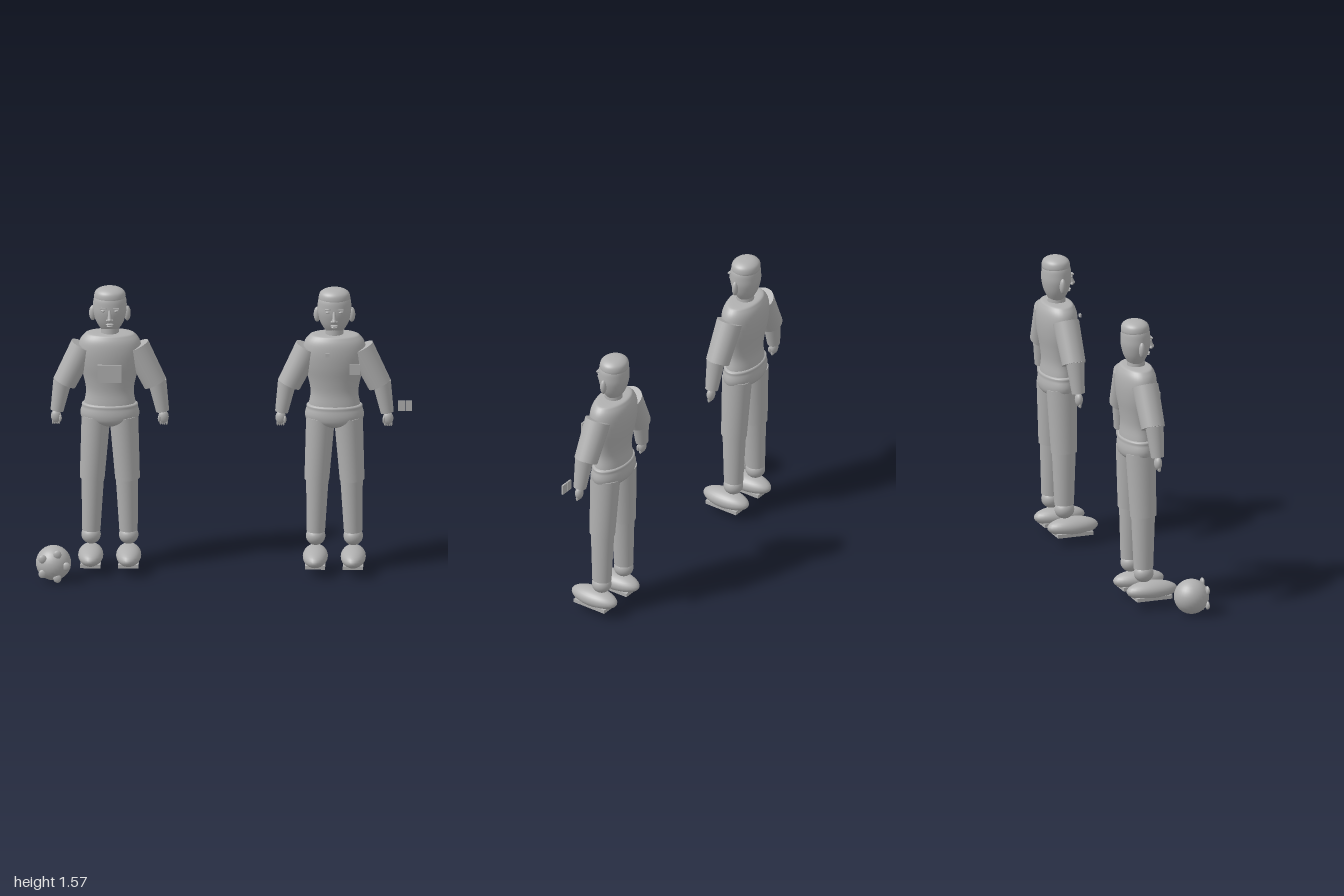
import * as THREE from 'three';

const grey = new THREE.MeshStandardMaterial({ color: 0xb0b0b0 });
grey.name = 'plain grey';
const Z = -0.1; // depth of the body axis

function add(parent, name, geometry, x = 0, y = 0, z = 0) {
  const mesh = new THREE.Mesh(geometry, grey);
  mesh.name = name;
  mesh.position.set(x, y, z);
  parent.add(mesh);
  return mesh;
}

function ellipsoid(parent, name, [x, y, z], [rx, ry, rz], seg = 32) {
  return add(parent, name, new THREE.SphereGeometry(1, seg, seg / 2).scale(rx, ry, rz), x, y, z);
}

function box(parent, name, [x, y, z], [w, h, d]) {
  return add(parent, name, new THREE.BoxGeometry(w, h, d), x, y, z);
}

// Tapered cylinder from point a down to point b
function limb(parent, name, a, b, ra, rb, depth = 1) {
  const from = new THREE.Vector3(...a), to = new THREE.Vector3(...b);
  const axis = from.clone().sub(to);
  const mesh = add(parent, name, new THREE.CylinderGeometry(ra, rb, axis.length(), 28).scale(1, 1, depth));
  mesh.position.copy(from).add(to).multiplyScalar(0.5);
  mesh.quaternion.setFromUnitVectors(new THREE.Vector3(0, 1, 0), axis.normalize());
  return mesh;
}

// Smooth lathe with an oval plan; points are [radius, y] from bottom to top
function ovalLathe(parent, name, points, depth, z = Z) {
  const curve = new THREE.SplineCurve(points.map(([r, y]) => new THREE.Vector2(r, y)));
  const profile = curve.getPoints(36).map(p => new THREE.Vector2(Math.max(p.x, 0), p.y));
  return add(parent, name, new THREE.LatheGeometry(profile, 40).scale(1, 1, depth), 0, 0, z);
}

function buildHead(g) {
  ovalLathe(g, 'head', [[0, 1.318], [0.03, 1.325], [0.052, 1.35], [0.075, 1.39], [0.089, 1.44],
    [0.09, 1.48], [0.084, 1.52], [0.06, 1.55], [0, 1.56]], 0.87, -0.103);
  ovalLathe(g, 'hair', [[0, 1.495], [0.06, 1.497], [0.08, 1.51], [0.084, 1.53], [0.075, 1.555],
    [0.045, 1.572], [0, 1.577]], 0.89, -0.105);
  limb(g, 'neck', [0, 1.37, Z], [0, 1.29, Z], 0.046, 0.05);
  for (const s of [-1, 1]) {
    ellipsoid(g, 'ear', [s * 0.092, 1.432, Z], [0.019, 0.042, 0.017], 20);
    ellipsoid(g, 'eye', [s * 0.034, 1.464, -0.034], [0.014, 0.007, 0.01], 16);
    ellipsoid(g, 'pupil', [s * 0.034, 1.464, -0.026], [0.005, 0.005, 0.005], 12);
    box(g, 'eyebrow', [s * 0.034, 1.479, -0.028], [0.032, 0.007, 0.014]).rotation.z = -s * 0.08;
    ellipsoid(g, 'nostril', [s * 0.012, 1.415, -0.018], [0.008, 0.007, 0.009], 12);
  }
  limb(g, 'noseBridge', [0, 1.47, -0.026], [0, 1.424, -0.012], 0.007, 0.011);
  ellipsoid(g, 'noseTip', [0, 1.42, -0.01], [0.012, 0.011, 0.013], 16);
  ellipsoid(g, 'upperLip', [0, 1.388, -0.032], [0.022, 0.006, 0.011], 16);
  ellipsoid(g, 'lowerLip', [0, 1.378, -0.034], [0.017, 0.006, 0.01], 16);
}

function buildTorso(g) {
  ovalLathe(g, 'torso', [[0.135, 0.88], [0.137, 0.93], [0.127, 1.0], [0.138, 1.07], [0.16, 1.15],
    [0.169, 1.22], [0.162, 1.275], [0.14, 1.31], [0.11, 1.325], [0, 1.326]], 0.6);
  // pelvis with full sides
  ovalLathe(g, 'pelvis', [[0, 0.8], [0.08, 0.81], [0.14, 0.835], [0.157, 0.87], [0.15, 0.91],
    [0.134, 0.935], [0, 0.94]], 0.6);
}

function buildArm(g, s) {
  limb(g, 'upperArm', [s * 0.14, 1.248, Z], [s * 0.241, 1.043, -0.093], 0.071, 0.064);
  limb(g, 'forearm', [s * 0.251, 1.06, -0.09], [s * 0.281, 0.89, -0.083], 0.05, 0.035);
  ellipsoid(g, 'hand', [s * 0.286, 0.858, -0.082], [0.028, 0.037, 0.021], 20);
  for (let i = 0; i < 4; i++) {
    ellipsoid(g, 'finger', [s * (0.27 + i * 0.011), 0.829, -0.08], [0.006, 0.017, 0.008], 12);
  }
  ellipsoid(g, 'thumb', [s * 0.263, 0.85, -0.07], [0.008, 0.02, 0.009], 12);
}

function buildLeg(g, s) {
  limb(g, 'thigh', [s * 0.074, 0.86, Z], [s * 0.094, 0.51, -0.094], 0.077, 0.066, 1.07);
  limb(g, 'shin', [s * 0.091, 0.515, -0.094], [s * 0.099, 0.22, -0.095], 0.06, 0.049, 1.08);
  ellipsoid(g, 'ankle', [s * 0.1, 0.192, -0.094], [0.052, 0.05, 0.053]);
  ellipsoid(g, 'shoe', [s * 0.101, 0.093, -0.048], [0.067, 0.051, 0.142]);
  box(g, 'sole', [s * 0.101, 0.058, -0.05], [0.108, 0.02, 0.2]);
}

function buildFigure(x, name) {
  const g = new THREE.Group();
  g.name = name;
  g.position.x = x;
  buildHead(g);
  buildTorso(g);
  for (const s of [-1, 1]) {
    buildArm(g, s);
    buildLeg(g, s);
  }
  return g;
}

function buildBall() {
  const g = new THREE.Group();
  g.name = 'ball';
  g.position.set(-0.906, 0.097, 0.104);
  ellipsoid(g, 'ballBody', [0, 0, 0], [0.094, 0.094, 0.094]);
  // ring of five raised patches on the front
  for (let i = 0; i < 5; i++) {
    const a = i * Math.PI * 0.4;
    ellipsoid(g, 'ballPatch', [0.07 * Math.cos(a), 0.07 * Math.sin(a), 0.07], [0.022, 0.024, 0.011], 16);
  }
  return g;
}

export function createModel() {
  const model = new THREE.Group();
  model.name = 'twoFigures';

  const first = buildFigure(-0.61, 'figureWithBall');
  box(first, 'chestPanel', [0, 1.126, 0.012], [0.128, 0.1, 0.009]);

  const second = buildFigure(0.585, 'figureWithCards');
  box(second, 'chestBadge', [-0.035, 1.24, 0.02], [0.02, 0.018, 0.009]);
  box(second, 'chestPocket', [0.11, 1.157, 0.008], [0.056, 0.056, 0.009]);
  for (const x of [0.357, 0.396]) box(second, 'card', [x, 0.933, -0.063], [0.036, 0.056, 0.009]);

  model.add(first, second, buildBall());
  return model;
}
